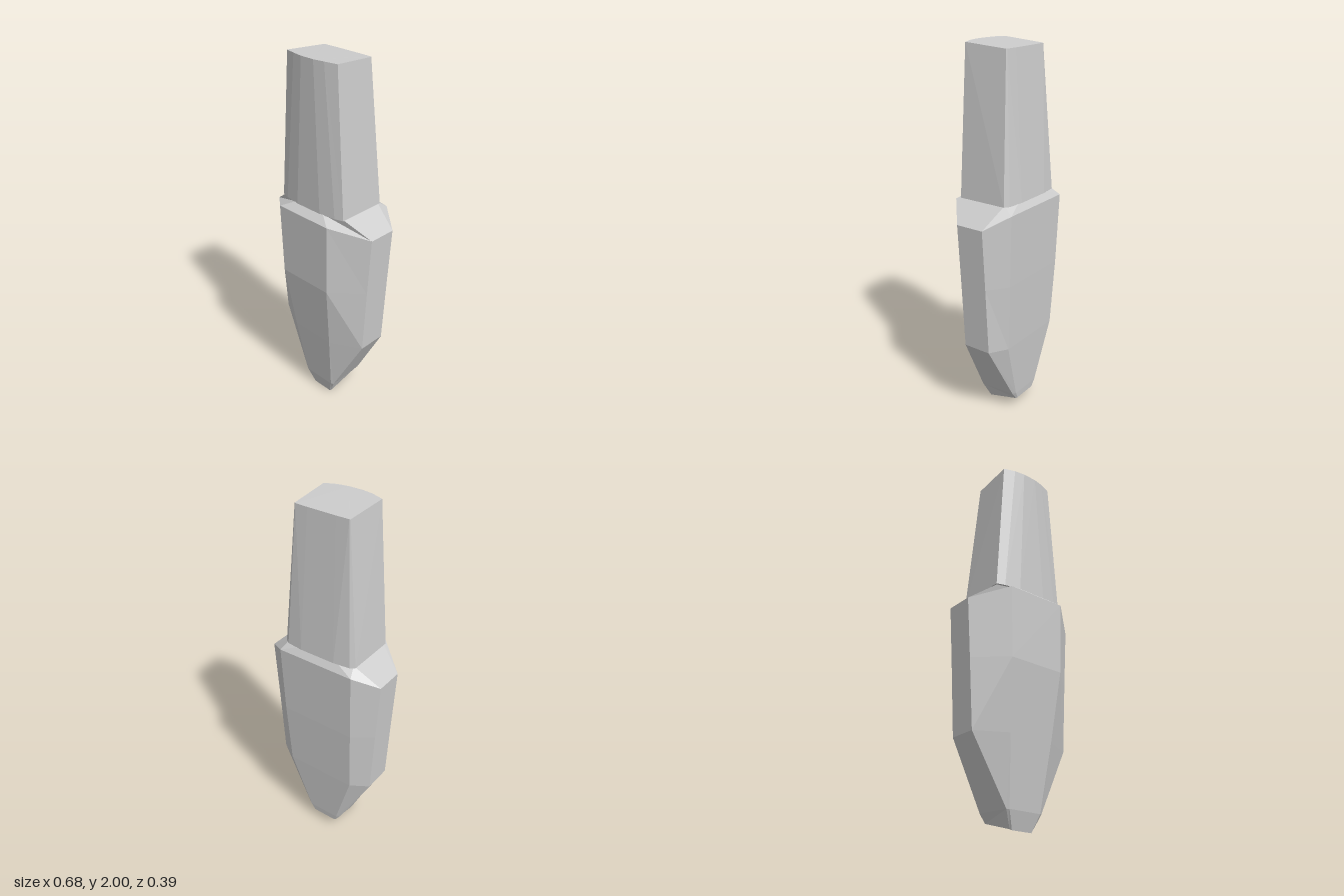
import * as THREE from 'three';

// Each level is half a cross-section on +x, listed front to back as [x, y, z]; levels run top to bottom.
function loft(name, levels) {
  const rings = levels.map(half => [
    ...half,
    ...half.slice().reverse().map(([x, y, z]) => [-x, y, z]),
  ]);
  const n = rings[0].length;
  const pos = [];
  const tri = (a, b, c) => pos.push(...a, ...b, ...c);

  // Side walls, with diagonals mirrored between the two halves
  for (let k = 0; k < rings.length - 1; k++) {
    const up = rings[k], low = rings[k + 1];
    for (let i = 0; i < n; i++) {
      const j = (i + 1) % n;
      if (i < n / 2) {
        tri(low[i], low[j], up[i]);
        tri(low[j], up[j], up[i]);
      } else {
        tri(low[i], low[j], up[j]);
        tri(low[i], up[j], up[i]);
      }
    }
  }
  // End caps
  const top = rings[0], bottom = rings[rings.length - 1];
  for (let i = 1; i < n - 1; i++) {
    tri(top[0], top[i], top[i + 1]);
    tri(bottom[0], bottom[i + 1], bottom[i]);
  }

  const geometry = new THREE.BufferGeometry();
  geometry.setAttribute('position', new THREE.Float32BufferAttribute(pos, 3));
  geometry.computeVertexNormals();
  const mesh = new THREE.Mesh(
    geometry,
    new THREE.MeshStandardMaterial({ color: 0xcccccc, flatShading: true }),
  );
  mesh.name = name;
  return mesh;
}

export function createModel() {
  const group = new THREE.Group();
  group.name = 'taperedSegment';

  // Faceted lower body: columns are front, side front, side back, back
  group.add(loft('lowerBody', [
    [[0.1, 1.235, 0.15], [0.2, 1.235, 0.12], [0.2, 1.235, -0.14], [0.12, 1.235, -0.168]],
    [[0.17, 1.2, 0.195], [0.34, 1.135, 0.05], [0.34, 1.135, -0.105], [0.22, 1.195, -0.195]],
    [[0.16, 0.81, 0.188], [0.318, 0.81, 0.05], [0.318, 0.81, -0.105], [0.212, 0.81, -0.182]],
    [[0.13, 0.44, 0.138], [0.295, 0.44, 0.05], [0.295, 0.44, -0.105], [0.2, 0.44, -0.163]],
    [[0.095, 0.09, 0.088], [0.108, 0.09, 0.08], [0.108, 0.1, -0.125], [0.09, 0.1, -0.137]],
    [[0.06, 0, 0.062], [0.068, 0.005, 0.055], [0.075, 0.055, -0.125], [0.068, 0.06, -0.132]],
  ]));

  // Tapered upper shaft with a bowed front, bevelled back and sloping top
  group.add(loft('upperShaft', [
    [[0.04, 2, 0.148], [0.1, 2, 0.138], [0.165, 1.997, 0.118],
      [0.155, 1.98, -0.115], [0.15, 1.98, -0.118], [0.08, 1.98, -0.12]],
    [[0.08, 1.23, 0.155], [0.17, 1.23, 0.14], [0.215, 1.23, 0.125],
      [0.215, 1.23, -0.145], [0.19, 1.23, -0.163], [0.1, 1.23, -0.174]],
  ]));

  return group;
}
